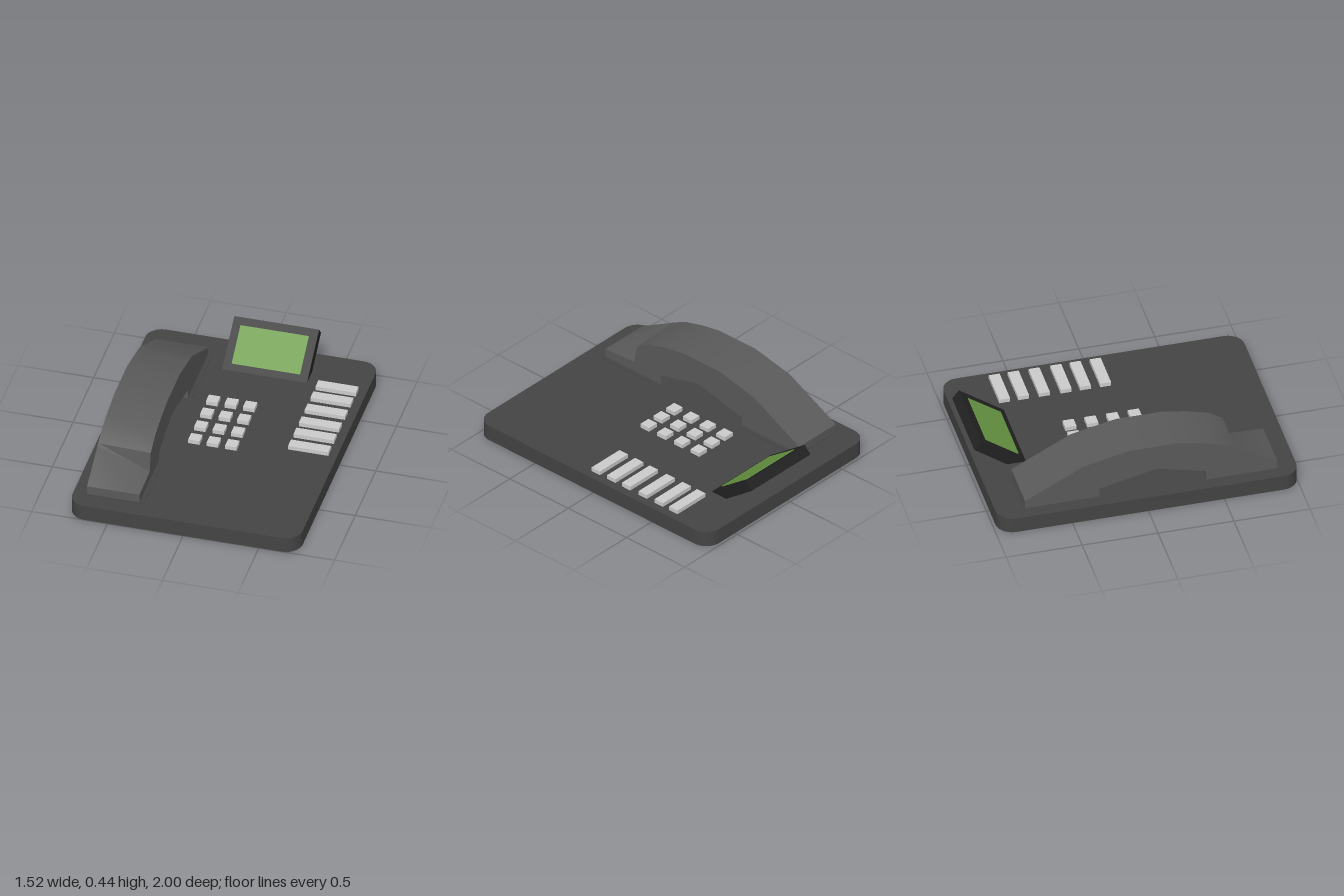
import * as THREE from 'three';
import { toCreasedNormals } from 'three/addons/utils/BufferGeometryUtils.js';

const material = (color) => new THREE.MeshStandardMaterial({ color });
const DECK = 0.108; // height of the base's top face

function add(parent, name, geometry, mat) {
  const mesh = new THREE.Mesh(geometry, mat);
  mesh.name = name;
  parent.add(mesh);
  return mesh;
}

// Box given by its limits on each axis
function slab(x0, x1, y0, y1, z0, z1) {
  return new THREE.BoxGeometry(x1 - x0, y1 - y0, z1 - z0)
    .translate((x0 + x1) / 2, (y0 + y1) / 2, (z0 + z1) / 2);
}

// Plate with rounded corners in plan
function roundedPlate(x0, x1, z0, z1, r, height) {
  const s = new THREE.Shape();
  s.moveTo(x0 + r, -z1);
  s.lineTo(x1 - r, -z1);
  s.absarc(x1 - r, -z1 + r, r, -Math.PI / 2, 0);
  s.lineTo(x1, -z0 - r);
  s.absarc(x1 - r, -z0 - r, r, 0, Math.PI / 2);
  s.lineTo(x0 + r, -z0);
  s.absarc(x0 + r, -z0 - r, r, Math.PI / 2, Math.PI);
  s.lineTo(x0, -z1 + r);
  s.absarc(x0 + r, -z1 + r, r, Math.PI, Math.PI * 1.5);
  const g = new THREE.ExtrudeGeometry(s, { depth: height, bevelEnabled: false, curveSegments: 8 });
  return toCreasedNormals(g.rotateX(-Math.PI / 2), 0.6);
}

// Side profile of [z, y] points, extruded across x
function sideProfile(points, x0, x1) {
  const s = new THREE.Shape(points.map(([z, y]) => new THREE.Vector2(z, y)));
  return new THREE.ExtrudeGeometry(s, { depth: x1 - x0, bevelEnabled: false })
    .rotateY(-Math.PI / 2).translate(x1, 0, 0);
}

// Four-sided sections from front to back: [z, bottom, outer top, inner top]
function loft(sections, xo, xi) {
  const pos = [], index = [];
  for (const [z, b, to, ti] of sections) pos.push(xo, b, z, xi, b, z, xi, ti, z, xo, to, z);
  for (let i = 0; i < sections.length - 1; i++) {
    for (let j = 0; j < 4; j++) {
      const k = (j + 1) % 4, a = i * 4, c = a + 4;
      index.push(a + j, c + j, c + k, a + j, c + k, a + k);
    }
  }
  const e = (sections.length - 1) * 4;
  index.push(0, 1, 2, 0, 2, 3, e, e + 2, e + 1, e, e + 3, e + 2);
  const g = new THREE.BufferGeometry();
  g.setAttribute('position', new THREE.Float32BufferAttribute(pos, 3));
  g.setIndex(index);
  return toCreasedNormals(g, 0.6);
}

export function createModel() {
  const phone = new THREE.Group();
  phone.name = 'deskPhone';
  const bodyMat = material(0x444444);
  const handsetMat = material(0x5a5a5a);
  const frameMat = material(0x222222);
  const screenMat = material(0x6a9a44);
  const keyMat = material(0xcccccc);

  add(phone, 'base', roundedPlate(-0.76, 0.76, -0.98, 1.0, 0.11, DECK), bodyMat);

  // Arched handset with a cut-down inner corner on the mouthpiece
  add(phone, 'handset', loft([
    [0.87, DECK, 0.17, 0.17],
    [0.625, DECK, 0.305, 0.18],
    [0.6, DECK, 0.32, 0.31],
    [0.5, DECK, 0.37, 0.37],
    [0.4, DECK, 0.397, 0.397],
    [0.4, 0.175, 0.397, 0.397],
    [0.35, 0.19, 0.41, 0.41],
    [0.2, 0.227, 0.435, 0.435],
    [0.08, 0.258, 0.435, 0.435],
    [-0.1, 0.217, 0.435, 0.435],
    [-0.3, 0.17, 0.392, 0.392],
    [-0.3, DECK, 0.392, 0.392],
    [-0.4, DECK, 0.37, 0.37],
    [-0.79, DECK, 0.165, 0.165],
  ], -0.67, -0.323), handsetMat);

  // Shallow cradle pads under both ends of the handset
  for (const [name, z0, z1] of [['frontCradle', 0.465, 0.88], ['rearCradle', -0.795, -0.31]]) {
    add(phone, name, slab(-0.66, -0.295, DECK - 0.01, DECK + 0.003, z0, z1), bodyMat);
  }

  // Tilted display: frame and a thin screen on its sloping face
  const display = new THREE.Group();
  display.name = 'display';
  phone.add(display);
  add(display, 'displayFrame', sideProfile(
    [[-0.66, DECK], [-0.785, DECK], [-1.0, 0.265], [-0.955, 0.32]], -0.195, 0.365), frameMat);
  add(display, 'screen', sideProfile(
    [[-0.694, 0.139], [-0.71, 0.13], [-0.92, 0.28], [-0.909, 0.291]], -0.142, 0.31), screenMat);

  // Number keys in a 3 by 4 block
  const keypad = new THREE.Group();
  keypad.name = 'keypad';
  phone.add(keypad);
  for (const z of [-0.3, -0.156, -0.013, 0.13]) {
    for (const x of [-0.156, -0.034, 0.088]) {
      add(keypad, 'numberKey', slab(x - 0.038, x + 0.038, DECK - 0.01, 0.136, z - 0.037, z + 0.037), keyMat);
    }
  }

  // Column of wide function keys
  const functionKeys = new THREE.Group();
  functionKeys.name = 'functionKeys';
  phone.add(functionKeys);
  for (const z of [-0.635, -0.51, -0.373, -0.23, -0.103, 0.03]) {
    add(functionKeys, 'functionKey', slab(0.438, 0.704, DECK - 0.01, 0.136, z - 0.036, z + 0.036), keyMat);
  }

  return phone;
}
